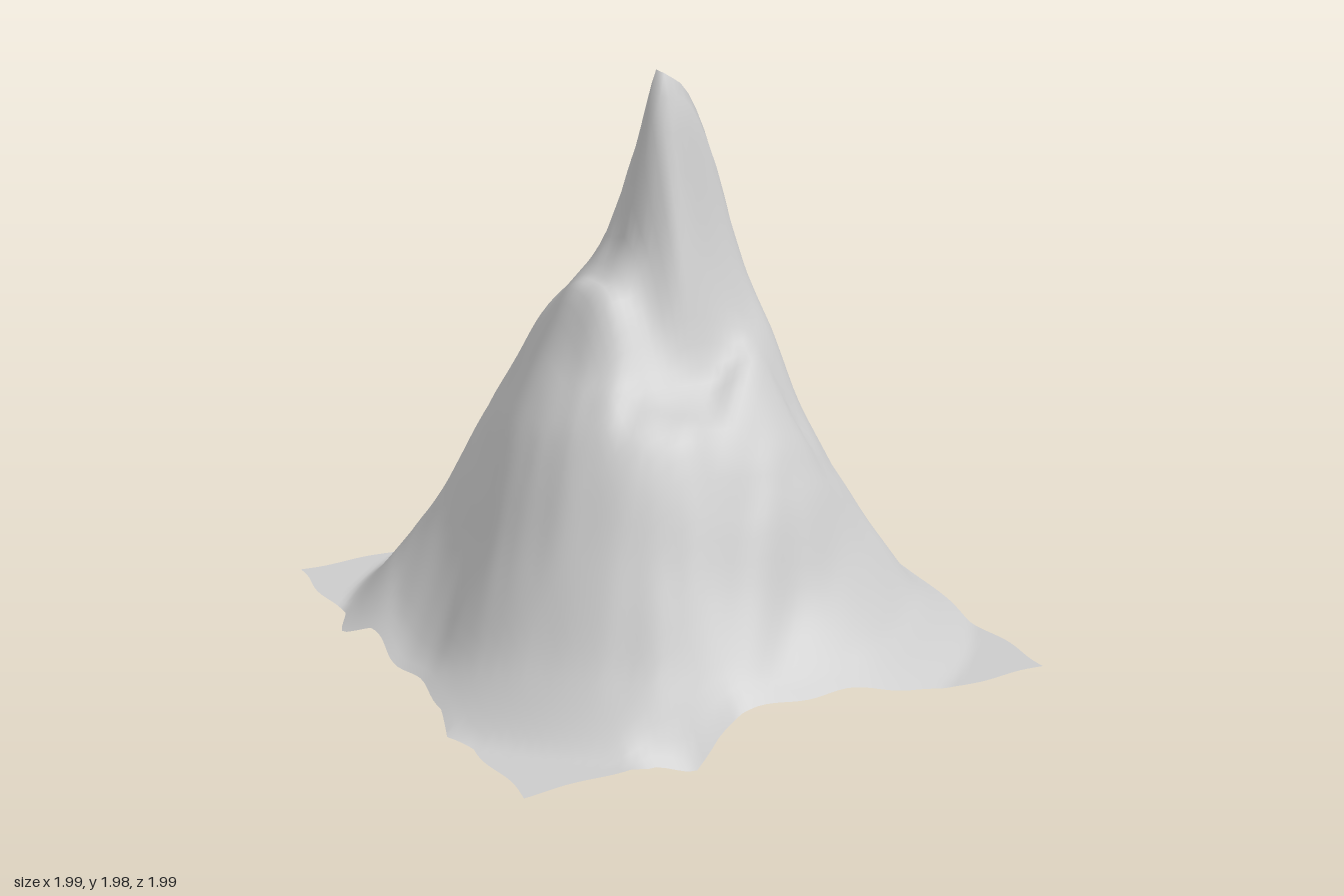
import * as THREE from 'three';

// Slope profiles: heights outward from the summit, one row per 30 degrees, from +x round by +z
const radii = [0, 0.1, 0.2, 0.3, 0.4, 0.5, 0.6, 0.75, 0.9, 1.1];
const slopes = [
  [1.98, 1.92, 1.71, 1.34, 1.04, 0.75, 0.56, 0.31, 0.12, 0.03], // left
  [1.98, 1.82, 1.50, 1.25, 1.06, 0.80, 0.60, 0.37, 0.17, 0.03],
  [1.98, 1.66, 1.34, 1.11, 1.02, 0.87, 0.70, 0.42, 0.20, 0.04],
  [1.98, 1.64, 1.33, 1.05, 0.95, 0.87, 0.70, 0.37, 0.18, 0.05], // front
  [1.98, 1.54, 1.28, 1.10, 1.00, 0.95, 0.83, 0.53, 0.25, 0.04],
  [1.98, 1.48, 1.32, 1.25, 1.07, 0.96, 0.83, 0.53, 0.24, 0.03],
  [1.98, 1.49, 1.32, 1.28, 1.11, 0.94, 0.73, 0.36, 0.11, 0.03], // right
  [1.98, 1.50, 1.34, 1.24, 1.10, 0.91, 0.75, 0.47, 0.25, 0.05],
  [1.98, 1.62, 1.40, 1.25, 1.16, 1.00, 0.79, 0.46, 0.25, 0.05],
  [1.98, 1.78, 1.53, 1.25, 1.17, 1.03, 0.80, 0.43, 0.18, 0.05], // back
  [1.98, 1.76, 1.40, 1.11, 0.90, 0.76, 0.62, 0.43, 0.23, 0.04],
  [1.98, 1.82, 1.51, 1.17, 0.95, 0.76, 0.65, 0.46, 0.22, 0.03],
];
const turns = slopes.length;

// Spurs and gullies: centre x, z, run direction (radians from +x to +z), length, width, height
const ridges = [
  [0.62, -0.38, -0.65, 0.16, 0.07, 0.11],
  [0.46, -0.27, -0.60, 0.12, 0.05, -0.06],
  [0.52, -0.12, -0.50, 0.14, 0.05, 0.05],
  [0.33, 0.32, 0.90, 0.12, 0.04, -0.05],
];

// Catmull-Rom blend of four neighbouring values
const spline = (a, b, c, d, t) =>
  b + 0.5 * t * (c - a + t * (2 * a - 5 * b + 4 * c - d + t * (3 * (b - c) + d - a)));

const bump = (t, centre, width) => Math.max(0, 1 - Math.abs(t - centre) / width);
const { clamp, lerp, smoothstep } = THREE.MathUtils;

function alongSlope(row, r) {
  const last = radii.length - 1;
  let i = 0;
  while (i < last - 1 && radii[i + 1] < r) i++;
  const t = Math.min(1, (r - radii[i]) / (radii[i + 1] - radii[i]));
  const at = (k) => row[Math.min(last, k)];
  return i === 0 ? lerp(row[0], row[1], Math.pow(t, 1.15))
    : spline(at(i - 1), at(i), at(i + 1), at(i + 2), t);
}

// Smooth value noise from a small integer hash
function hash(i, j) {
  const s = Math.sin(i * 127.1 + j * 311.7) * 43758.5453;
  return s - Math.floor(s);
}
function noise(x, y) {
  const i = Math.floor(x), j = Math.floor(y);
  const u = smoothstep(x - i, 0, 1), v = smoothstep(y - j, 0, 1);
  return lerp(lerp(hash(i, j), hash(i + 1, j), u), lerp(hash(i, j + 1), hash(i + 1, j + 1), u), v) * 2 - 1;
}

function heightAt(x, z) {
  const dx = x - 0.02, r = Math.hypot(dx, z);
  const a = (Math.atan2(z, dx) / (Math.PI * 2) + 1) * turns;
  const k = Math.floor(a);
  const h = [-1, 0, 1, 2].map((o) => alongSlope(slopes[(k + o + turns) % turns], r));
  let y = spline(...h, a - k);
  for (const [cx, cz, dir, length, width, height] of ridges) {
    const c = Math.cos(dir), s = Math.sin(dir);
    const along = ((x - cx) * c + (z - cz) * s) / length;
    const across = ((z - cz) * c - (x - cx) * s) / width;
    y += height * Math.exp(-along * along - across * across);
  }
  // Fine diagonal crags on the middle slopes
  const crag = smoothstep(r, 0.2, 0.45) * (1 - smoothstep(r, 0.7, 1));
  return y + crag * 0.02 * noise((x + z) * 8, (x - z) * 3.2);
}

export function createModel() {
  const group = new THREE.Group();
  const geometry = new THREE.PlaneGeometry(2, 2, 64, 64).rotateX(-Math.PI / 2);
  const p = geometry.attributes.position;
  for (let i = 0; i < p.count; i++) {
    const u = p.getX(i), v = p.getZ(i);
    const wu = smoothstep(Math.abs(u), 0.85, 1);
    const wv = smoothstep(Math.abs(v), 0.85, 1);
    // Ragged outline with a few pointed tips
    let x = 0.02 + u * 0.965 + wu * 0.01 * Math.sin(v * 17 + u);
    let z = v * 0.957 + wv * 0.007 * Math.sin(u * 18 + v);
    if (u < 0) x -= wu * 0.05 * (bump(v, -0.4, 0.12) + bump(v, 0.5, 0.12));
    if (v < 0) z -= wv * 0.04 * bump(u, 0.6, 0.12);
    else z += wv * 0.045 * bump(u, -0.42, 0.12);
    x = clamp(x, -1, 1);
    z = clamp(z, -1, 1);
    let y = heightAt(x, z);
    // Front tip dips to the ground
    if (v > 0) y -= wv * 0.065 * bump(u, -0.42, 0.2);
    p.setXYZ(i, x, Math.max(0, y), z);
  }
  geometry.computeVertexNormals();
  const material = new THREE.MeshStandardMaterial({ color: 0xcccccc, side: THREE.DoubleSide });
  const mountain = new THREE.Mesh(geometry, material);
  mountain.name = 'mountainSurface';
  group.add(mountain);
  return group;
}
